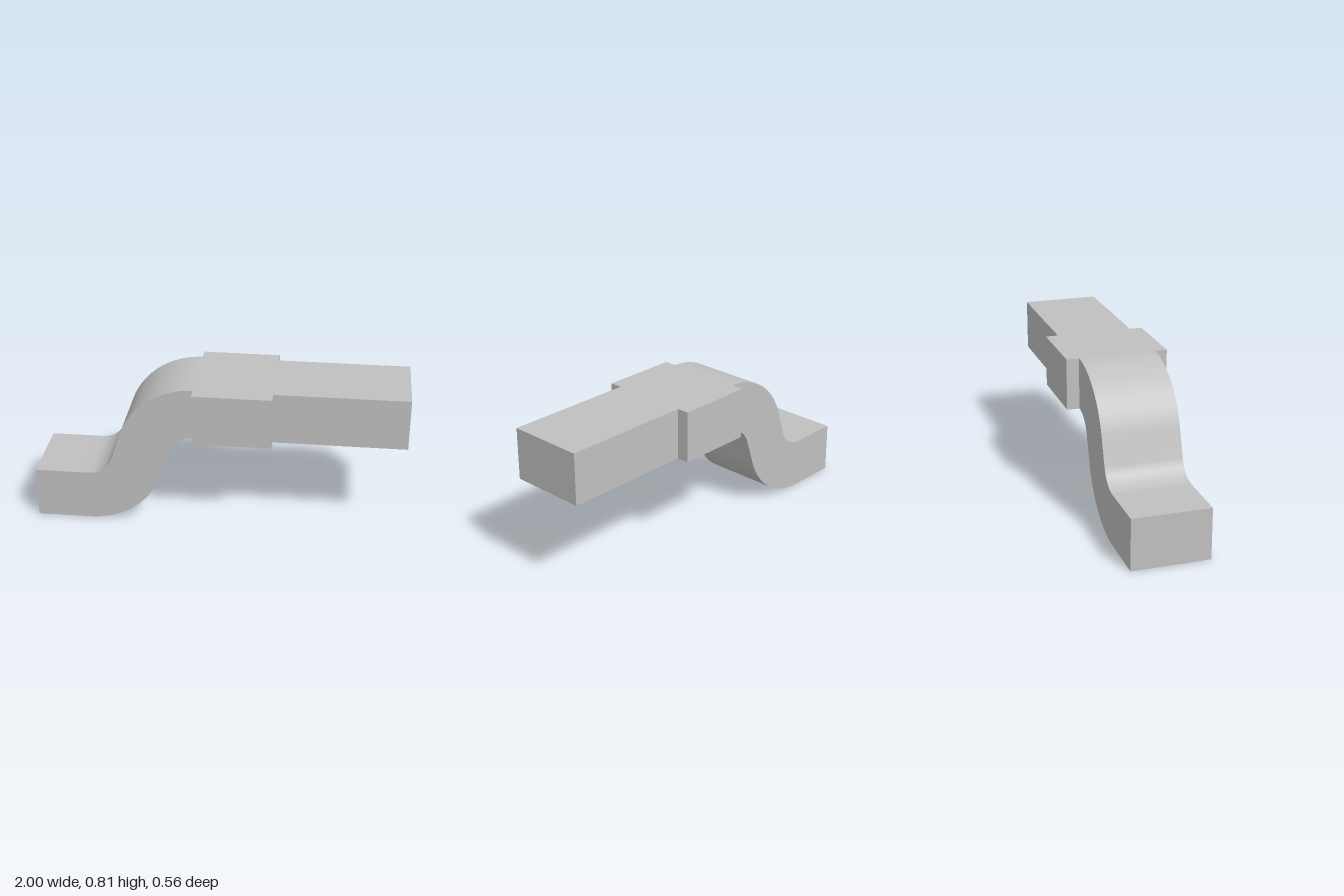
import * as THREE from 'three';
import { toCreasedNormals } from 'three/addons/utils/BufferGeometryUtils.js';

export function createModel() {
  const group = new THREE.Group();
  group.name = 'steppedBar';
  const grey = new THREE.MeshStandardMaterial({ color: 0xc0c0c0 });
  grey.name = 'plain grey';

  const top = 0.81, thick = 0.28, halfWidth = 0.21;
  const inner = 0.14, outer = inner + thick;
  const upper = { x: -0.13, y: top - outer };  // centre of the upper bend
  const lower = { x: -0.71, y: outer };        // centre of the lower bend

  // Bend angle at which the straight web is tangent to both arcs
  const dx = upper.x - lower.x, dy = upper.y - lower.y;
  const theta = Math.atan2(dy, dx) + Math.asin((inner + outer) / Math.hypot(dx, dy));
  const turn = Math.min(theta, Math.PI - theta);
  const up = Math.PI / 2, down = -Math.PI / 2;

  // Side outline: low bar, S-bend and high bar in one piece
  const outline = new THREE.Shape();
  outline.moveTo(-1, 0);
  outline.lineTo(lower.x, 0);
  outline.absarc(lower.x, lower.y, outer, down, down + turn, false);
  outline.absarc(upper.x, upper.y, inner, up + turn, up, true);
  outline.lineTo(1, top - thick);
  outline.lineTo(1, top);
  outline.lineTo(upper.x, top);
  outline.absarc(upper.x, upper.y, outer, up, up + turn, false);
  outline.absarc(lower.x, lower.y, inner, down + turn, down, true);
  outline.lineTo(-1, thick);
  outline.closePath();

  const barGeometry = new THREE.ExtrudeGeometry(outline, {
    depth: halfWidth * 2, bevelEnabled: false, curveSegments: 28,
  });
  barGeometry.translate(0, 0, -halfWidth);
  const bar = new THREE.Mesh(toCreasedNormals(barGeometry, Math.PI / 7), grey);
  bar.name = 'bentBar';
  group.add(bar);

  // Side lugs that widen the high bar just after the bend
  const lugDepth = 0.068, lugLength = 0.42;
  for (const side of [-1, 1]) {
    const lug = new THREE.Mesh(new THREE.BoxGeometry(lugLength, thick, lugDepth), grey);
    lug.position.set(upper.x + lugLength / 2, top - thick / 2, side * (halfWidth + lugDepth / 2));
    lug.name = side > 0 ? 'frontLug' : 'backLug';
    group.add(lug);
  }
  return group;
}
